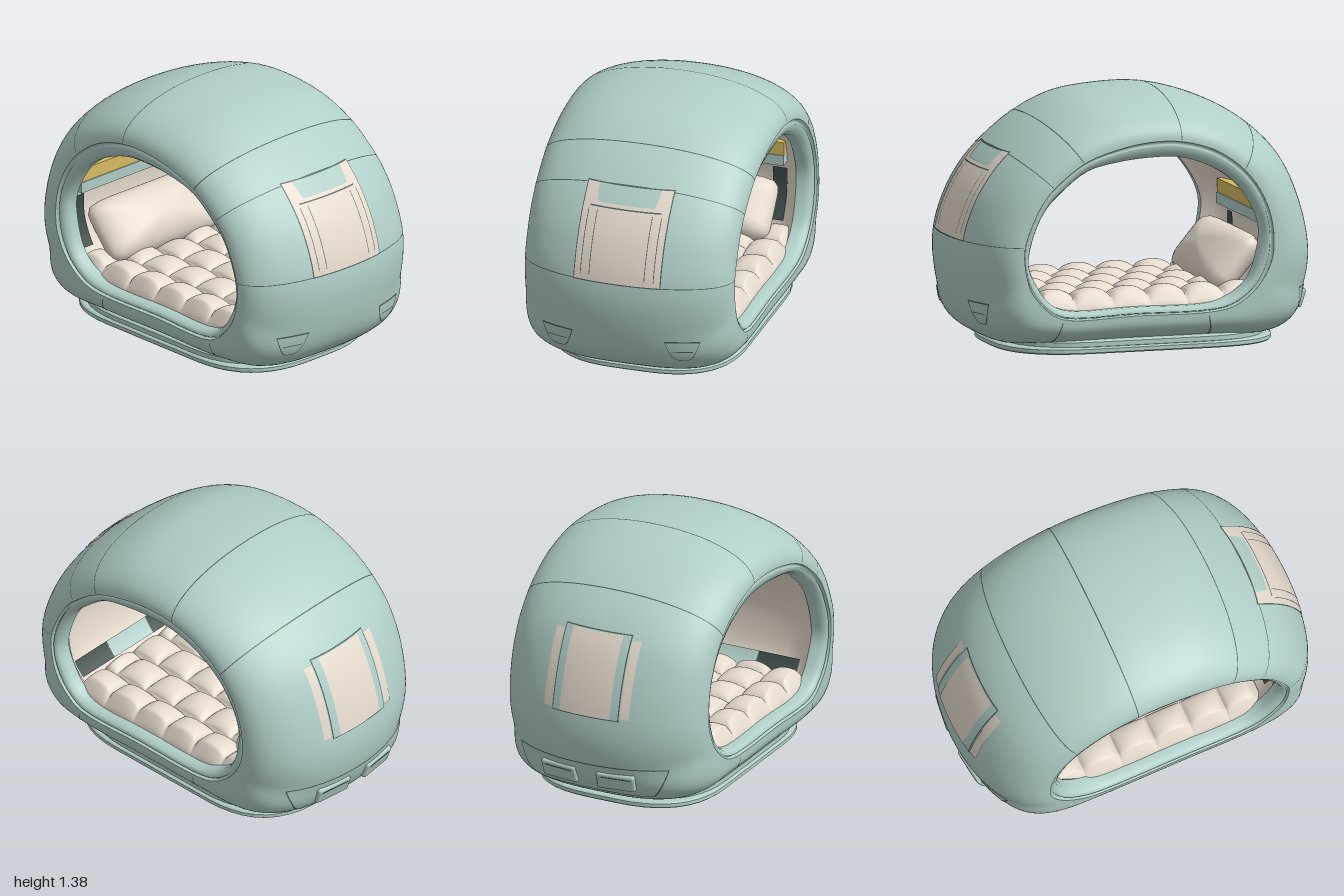
import * as THREE from 'three';
import { RoundedBoxGeometry } from 'three/addons/geometries/RoundedBoxGeometry.js';

const W = 0.59; // half width of the shell

// Stations round the ring, front > top > back > floor: outer z,y / opening edge z,y / inner lip z,y
const STATIONS = [
  [0.99, 0.61, 0.735, 0.61, 0.69, 0.60], [0.93, 0.80, 0.68, 0.76, 0.64, 0.74],
  [0.85, 0.94, 0.63, 0.85, 0.59, 0.82], [0.73, 1.08, 0.57, 0.92, 0.53, 0.88],
  [0.53, 1.24, 0.40, 1.05, 0.37, 1.00], [0.33, 1.34, 0.20, 1.12, 0.18, 1.045],
  [0.10, 1.375, 0.02, 1.15, 0.00, 1.06], [-0.15, 1.375, -0.15, 1.145, -0.15, 1.055],
  [-0.40, 1.31, -0.34, 1.09, -0.32, 1.00], [-0.63, 1.19, -0.50, 0.98, -0.46, 0.91],
  [-0.82, 1.01, -0.60, 0.85, -0.55, 0.80], [-0.94, 0.76, -0.66, 0.69, -0.61, 0.66],
  [-1.00, 0.47, -0.665, 0.50, -0.60, 0.52], [-0.97, 0.26, -0.60, 0.36, -0.55, 0.38],
  [-0.89, 0.12, -0.52, 0.28, -0.48, 0.31], [-0.74, 0.045, -0.43, 0.23, -0.40, 0.27],
  [-0.34, 0.04, -0.30, 0.21, -0.30, 0.25], [0.10, 0.04, 0.10, 0.21, 0.10, 0.25],
  [0.56, 0.04, 0.52, 0.21, 0.49, 0.25], [0.79, 0.055, 0.62, 0.27, 0.59, 0.30],
  [0.93, 0.17, 0.70, 0.37, 0.66, 0.40], [0.995, 0.42, 0.735, 0.50, 0.70, 0.50],
];
const N = STATIONS.length;
const [outer, edge, lip] = [0, 2, 4].map((k) =>
  new THREE.CatmullRomCurve3(STATIONS.map((s) => new THREE.Vector3(0, s[k + 1], s[k])), true));
const at = (curve, s) => curve.getPoint((((s % N) + N) % N) / N);

// Point of the crowned shell at station s and width x, lifted by off along its normal; squarer low down
function shellPoint(s, x, off = 0) {
  const e = at(edge, s), o = at(outer, s), d = o.clone().sub(e), len = d.length();
  const n = 2.1 + 0.9 * (1 - THREE.MathUtils.smoothstep(o.y, 0.05, 0.3));
  const c = THREE.MathUtils.clamp(x / W, -1, 1), a = Math.abs(c);
  const h = Math.pow(1 - Math.pow(a, n), 1 / n);
  const normal = d.clone().multiplyScalar(Math.pow(h, n - 1) / (len * len))
    .setX(Math.sign(c) * Math.pow(a, n - 1) / W).normalize();
  return { p: e.addScaledVector(d, h).setX(x).addScaledVector(normal, off), normal };
}

// Station where the front or back of the shell reaches height y at width x
function stationAt(x, y, back) {
  let lo = back ? 15 : -3, hi = back ? 9 : 4;
  for (let i = 0; i < 26; i++) {
    const m = (lo + hi) / 2;
    if (shellPoint(m, x).p.y < y) lo = m; else hi = m;
  }
  return (lo + hi) / 2;
}

// Surface from a rule fn(i, j); faces along di x dj
function grid(ni, nj, fn, loop = false) {
  const pos = [], idx = [], rows = loop ? ni : ni + 1;
  for (let i = 0; i < rows; i++) for (let j = 0; j <= nj; j++) pos.push(...fn(i / ni, j / nj).toArray());
  for (let i = 0; i < ni; i++) for (let j = 0; j < nj; j++) {
    const a = i * (nj + 1) + j, b = ((i + 1) % rows) * (nj + 1) + j;
    idx.push(a, b, b + 1, a, b + 1, a + 1);
  }
  const g = new THREE.BufferGeometry();
  g.setAttribute('position', new THREE.Float32BufferAttribute(pos, 3));
  g.setIndex(idx);
  g.computeVertexNormals();
  return g;
}

// Thin plate hugging the shell: bottom and top x ranges with bowed sides, y range
function plate(bottom, top, y0, y1, back, off) {
  return grid(14, 14, (i, j) => {
    const t = back ? 1 - i : i, w = Math.sqrt(t), l = THREE.MathUtils.lerp;
    const x = l(l(bottom[1], top[1], w), l(bottom[0], top[0], w), j);
    return shellPoint(stationAt(x, l(y0, y1, t), back), x, off).p;
  });
}

// Loop round the ring with section points [toward outer, toward lip, x]
const ringLoft = (section) => grid(N * 5, section.length - 1, (i, j) => {
  const [o, l, x] = section[Math.round(j * (section.length - 1))], e = at(edge, i * N);
  return e.clone().addScaledVector(at(outer, i * N).sub(e), o).addScaledVector(at(lip, i * N).sub(e), l).setX(x);
}, true);

function baseShape(w, d, r) {
  const s = new THREE.Shape();
  s.moveTo(-w + r, -d);
  s.lineTo(w - r, -d); s.quadraticCurveTo(w, -d, w, -d + r);
  s.lineTo(w, d - r); s.quadraticCurveTo(w, d, w - r, d);
  s.lineTo(-w + r, d); s.quadraticCurveTo(-w, d, -w, d - r);
  s.lineTo(-w, -d + r); s.quadraticCurveTo(-w, -d, -w + r, -d);
  return s;
}

export function createModel() {
  const root = new THREE.Group();
  const mat = (name, color) => {
    const m = new THREE.MeshStandardMaterial({ color });
    m.name = name;
    return m;
  };
  const teal = mat('shellTeal', 0xb1cec8), cream = mat('fabricCream', 0xe5dacd);
  const dark = mat('darkPanel', 0x3c4a49), line = mat('seamTeal', 0x4e605e), yellow = mat('lampYellow', 0xd8bc62);
  const add = (name, geometry, material) => {
    const m = new THREE.Mesh(geometry, material);
    m.name = name;
    root.add(m);
    return m;
  };

  // Outer shell, opening rims and padded lining
  add('shell', grid(N * 6, 48, (i, j) => shellPoint(i * N, W * Math.cos(j * Math.PI)).p, true), teal);
  const rim = [[0, 0, 0.59], [0, 0.08, 0.572], [0, 0.25, 0.572], [0, 0.33, 0.582], [0, 0.75, 0.568], [0, 1, 0.54], [0, 1, 0.49]];
  add('leftRim', ringLoft([...rim].reverse()), teal);
  add('rightRim', ringLoft(rim.map(([o, l, x]) => [o, l, -x])), teal);
  const lining = [[0, 1, 0.49], [0, 0, 0.45], [0.22, 0, 0.4], [0.32, 0, 0.3], [0.35, 0, 0.15]];
  add('lining', ringLoft([...lining.map(([o, l, x]) => [o, l, -x]), [0.36, 0, 0], ...lining.slice().reverse()]), cream);

  // Panel joints
  for (const s of [0, 3, 4, 7, 9.05, 16, 18]) {
    add('panelSeam', grid(1, 48, (i, j) =>
      shellPoint(s + (i - 0.5) * 0.025, W * Math.cos(0.03 + j * (Math.PI - 0.06)), 0.002).p), line);
  }

  // Stepped plinth
  [[0.49, 0.745, 0.4, 0.01, 0.02], [0.475, 0.7, 0.4, 0.04, 0.025]].forEach(([w, d, r, y, h], k) => {
    const g = new THREE.ExtrudeGeometry(baseShape(w, d, r), {
      depth: h, bevelEnabled: true, bevelThickness: 0.01, bevelSize: 0.03, bevelSegments: 2, curveSegments: 10,
    });
    add(k ? 'upperPlinth' : 'plinth', g.rotateX(-Math.PI / 2).translate(0, y, -0.01), teal);
  });

  // Front window with rolled blind
  const rect = (name, x0, x1, y0, y1, back, off, m) => add(name, plate([x0, x1], [x0, x1], y0, y1, back, off), m);
  rect('frontWindowFrame', -0.246, 0.246, 0.606, 1.079, false, 0.003, line);
  rect('frontBlind', -0.24, 0.24, 0.613, 1.073, false, 0.005, cream);
  add('blindRoll', plate([-0.157, 0.157], [-0.176, 0.176], 0.995, 1.073, false, 0.008), teal);
  rect('blindRail', -0.2, 0.2, 0.973, 0.979, false, 0.007, line);
  for (const x of [-0.205, -0.155, 0.155, 0.205]) rect('blindFold', x - 0.002, x + 0.002, 0.64, 0.96, false, 0.007, line);

  // Rear window with side strips
  rect('rearWindowFrame', -0.2, 0.2, 0.575, 1.018, true, 0.003, line);
  rect('rearWindowSurround', -0.194, 0.194, 0.581, 1.012, true, 0.005, teal);
  rect('rearWindow', -0.15, 0.15, 0.583, 1.008, true, 0.008, cream);
  for (const s of [-1, 1]) {
    const [a, b] = [0.205 * s, 0.255 * s].sort((p, q) => p - q);
    rect('rearStrip', a, b, 0.59, 0.99, true, 0.004, cream);
  }

  // Front lamps and rear lamps
  const flip = (r, s) => (s > 0 ? r : [-r[1], -r[0]]);
  add('rearPanelEdge', plate([-0.33, 0.33], [-0.45, 0.45], 0.115, 0.3, true, 0.002), line);
  add('rearPanel', plate([-0.324, 0.324], [-0.442, 0.442], 0.12, 0.295, true, 0.004), teal);
  for (const s of [-1, 1]) {
    add('frontLampEdge', plate(flip([0.325, 0.37], s), flip([0.257, 0.445], s), 0.17, 0.294, false, 0.003), line);
    add('frontLamp', plate(flip([0.329, 0.366], s), flip([0.263, 0.439], s), 0.176, 0.288, false, 0.006), teal);
    rect('frontLampSlot', ...flip([0.295, 0.405], s), 0.232, 0.237, false, 0.008, line);
    const x = s * 0.17, { p, normal } = shellPoint(stationAt(x, 0.21, true), x, -0.008);
    const lamp = add('rearLamp', new RoundedBoxGeometry(0.22, 0.105, 0.05, 3, 0.015), teal);
    lamp.position.copy(p);
    lamp.lookAt(p.clone().add(normal));
    const slot = new THREE.Mesh(new THREE.BoxGeometry(0.17, 0.004, 0.004), line);
    slot.name = 'rearLampSlot';
    slot.position.set(0, 0.03, 0.025);
    lamp.add(slot);
  }

  // Reading lamp above a ledge on the back wall
  add('readingLamp', new THREE.BoxGeometry(0.8, 0.075, 0.06).translate(0, 0.735, -0.705), yellow);
  add('lampLedge', new THREE.BoxGeometry(0.8, 0.06, 0.07).translate(0, 0.667, -0.705), teal);

  // Side pockets and trim on the lining
  const inside = (name, s0, s1, x0, x1, m) => add(name, grid(8, 12, (i, j) => {
    const s = s0 + (s1 - s0) * i, e = at(edge, s);
    return e.addScaledVector(at(outer, s).sub(e), 0.2).setX(x0 + (x1 - x0) * j);
  }), m);
  inside('frontBand', 19.25, 19.95, -0.15, 0.15, teal);
  for (const [a, b] of [[-0.4, -0.15], [0.15, 0.4]]) inside('frontPocket', 19.25, 19.95, a, b, dark);
  for (const [a, b] of [[-0.4, -0.32], [0.32, 0.4]]) inside('backPocket', 11.5, 13.2, a, b, dark);

  // Tufted mattress: staggered rows of puffs
  add('mattress', grid(160, 120, (i, j) => {
    const z = -0.62 + 1.26 * i, x = -0.52 + 1.04 * j;
    const border = Math.min(1, Math.min(x + 0.52, 0.52 - x, z + 0.62, 0.64 - z) / 0.06);
    const row = (x + 0.52) / 0.208, shift = Math.floor(row) % 2 ? 0.5 : 0;
    const puff = Math.pow(Math.abs(Math.sin(Math.PI * row) * Math.sin(Math.PI * (z / 0.21 + shift))), 0.4);
    return new THREE.Vector3(x, 0.22 + Math.sqrt(Math.max(0, border)) * (0.065 + 0.065 * puff), z);
  }), cream);

  // Pillow leaning on the back wall
  const pillow = new THREE.SphereGeometry(1, 48, 32).rotateX(Math.PI / 2);
  const p = pillow.attributes.position;
  for (let i = 0; i < p.count; i++) {
    const x = p.getX(i), y = p.getY(i), q = Math.pow(x ** 8 + y ** 8, 1 / 8);
    const k = q > 1e-5 ? Math.hypot(x, y) / q : 1;
    p.setXYZ(i, x * k * 0.39, y * k * 0.18, p.getZ(i) * 0.14);
  }
  pillow.computeVertexNormals();
  const cushion = add('pillow', pillow, cream);
  cushion.position.set(0, 0.43, -0.535);
  cushion.rotation.x = -0.7;

  return root;
}
